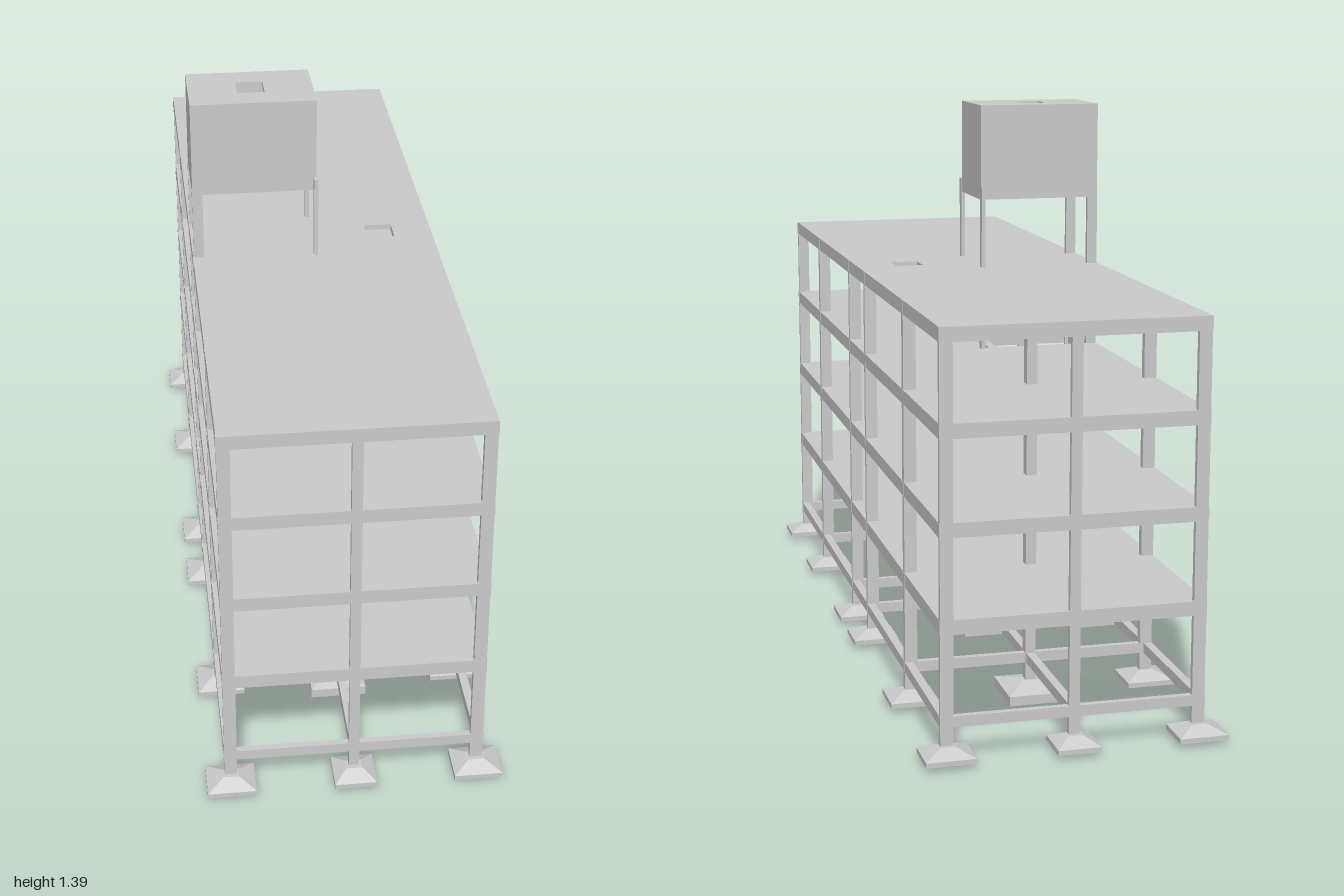
import * as THREE from 'three';

const mat = new THREE.MeshStandardMaterial({ color: 0xcccccc, flatShading: true });

function add(parent, name, geometry) {
  const mesh = new THREE.Mesh(geometry, mat);
  mesh.name = name;
  parent.add(mesh);
  return mesh;
}

// Box given by its minimum and maximum on each axis
function box(parent, name, x0, x1, y0, y1, z0, z1) {
  const g = new THREE.BoxGeometry(x1 - x0, y1 - y0, z1 - z0);
  return add(parent, name, g.translate((x0 + x1) / 2, (y0 + y1) / 2, (z0 + z1) / 2));
}

// Horizontal plate with an optional rectangular hole centred on z = 0
function plate(parent, name, [x0, x1, z], [y0, y1], hole) {
  const rect = (path, a, b, c) => path.moveTo(a, -c).lineTo(b, -c).lineTo(b, c).lineTo(a, c).closePath();
  const shape = rect(new THREE.Shape(), x0, x1, z);
  if (hole) shape.holes.push(rect(new THREE.Path(), ...hole));
  const g = new THREE.ExtrudeGeometry(shape, { depth: y1 - y0, bevelEnabled: false });
  return add(parent, name, g.rotateX(-Math.PI / 2).translate(0, y0, 0));
}

// Pad with a sloped cap narrowing to the column
function footing(parent, x, z, w, d, y0) {
  const group = new THREE.Group();
  group.name = 'footing';
  box(group, 'footingPad', -w / 2, w / 2, y0, 0.023, -d / 2, d / 2);
  const cap = new THREE.BoxGeometry(w, 0.017, d);
  const p = cap.attributes.position;
  for (let i = 0; i < p.count; i++) {
    if (p.getY(i) > 0) p.setXYZ(i, Math.sign(p.getX(i)) * 0.019, p.getY(i), Math.sign(p.getZ(i)) * 0.014);
  }
  cap.computeVertexNormals();
  add(group, 'footingCap', cap.translate(0, 0.0315, 0));
  group.position.set(x, 0, z);
  parent.add(group);
}

// Stepped flight running from (xa, ya) up to (xb, yb)
function flight(parent, name, xa, ya, xb, yb, z0, z1) {
  const n = 8, dx = (xb - xa) / n, dy = (yb - ya) / n;
  const pts = [new THREE.Vector2(xa, ya)];
  for (let i = 0; i < n; i++) {
    pts.push(new THREE.Vector2(xa + i * dx, ya + (i + 1) * dy));
    pts.push(new THREE.Vector2(xa + (i + 1) * dx, ya + (i + 1) * dy));
  }
  pts.push(new THREE.Vector2(xb, yb - 0.011), new THREE.Vector2(xa + dx * 0.6, ya));
  const g = new THREE.ExtrudeGeometry(new THREE.Shape(pts), { depth: z1 - z0, bevelEnabled: false });
  add(parent, name, g.translate(0, 0, z0));
}

export function createModel() {
  const model = new THREE.Group();
  model.name = 'buildingFrame';
  const section = (name) => {
    const g = new THREE.Group();
    g.name = name;
    model.add(g);
    return g;
  };
  const tops = [0.107, 0.328, 0.547, 0.767, 0.978];
  const roof = tops[4];

  // Footings and columns, mirrored front to back
  const footings = section('footings'), columns = section('columns');
  const column = (x, z, w, d, top) =>
    box(columns, 'column', x - w / 2, x + w / 2, 0.03, top, z - d / 2, z + d / 2);
  for (const s of [-1, 1]) {
    for (const x of [-0.293, 0, 0.293]) {
      const mid = x === 0;
      footing(footings, x, s * 0.947, mid ? 0.1 : 0.115, 0.1, 0.011);
      footing(footings, x, s * 0.57, mid ? 0.136 : 0.115, mid ? 0.15 : 0.108, mid ? 0 : 0.011);
      footing(footings, x, s * 0.1, 0.115, 0.108, 0.011);
      const w = mid ? 0.025 : 0.03;
      column(x, s * 0.943, w, 0.013, roof);
      column(x, s * 0.57, w, mid ? 0.027 : 0.018, roof);
    }
    // Stair core columns; four of them carry the tank
    column(0.293, s * 0.106, 0.03, 0.014, roof);
    column(-0.293, s * 0.095, 0.026, 0.012, 1.16);
    column(0, s * 0.109, 0.01, 0.02, 1.185);
  }

  // Beam grid on every level
  const beams = section('beams');
  tops.forEach((top, i) => {
    const low = top - (i ? 0.033 : 0.025);
    for (const x of [-0.298, 0, 0.298]) {
      box(beams, 'longBeam', x - 0.01, x + 0.01, low, top, -0.947, 0.947);
    }
    for (const z of [-0.942, -0.57, -0.106, 0.106, 0.57, 0.942]) {
      box(beams, 'crossBeam', -0.309, 0.309, low, top, z - 0.008, z + 0.008);
    }
  });

  // Floor slabs open over the stairs, roof slab with an access hatch
  const slabs = section('slabs');
  for (let i = 1; i < 5; i++) {
    const hole = i < 4 ? [-0.288, -0.01, 0.098] : [0.14, 0.21, 0.035];
    plate(slabs, i < 4 ? 'floorSlab' : 'roofSlab', [-0.308, 0.308, 0.95], [tops[i] - 0.013, tops[i] + 0.0005], hole);
  }

  // Half-turn stairs between the floors
  const stairs = section('stairs');
  for (let i = 0; i < 3; i++) {
    const y0 = tops[i], y1 = tops[i + 1], mid = (y0 + y1) / 2;
    flight(stairs, 'lowerFlight', -0.03, y0, -0.205, mid, 0, 0.098);
    flight(stairs, 'upperFlight', -0.205, mid, -0.02, y1, -0.098, 0);
    box(stairs, 'landing', -0.29, -0.2, mid - 0.009, mid, -0.098, 0.098);
  }

  // Hollow raised water tank with a hatch
  const tank = section('waterTank');
  const [a, b, h, t] = [-0.305, 0.003, 0.101, 0.012];
  plate(tank, 'tankFloor', [a, b, h], [1.15, 1.162]);
  plate(tank, 'tankLid', [a, b, h], [1.376, 1.388], [-0.185, -0.118, 0.034]);
  for (const z of [-h, h - t]) box(tank, 'tankLongWall', a, b, 1.162, 1.376, z, z + t);
  for (const x of [a, b - t]) box(tank, 'tankEndWall', x, x + t, 1.162, 1.376, -h + t, h - t);

  return model;
}
